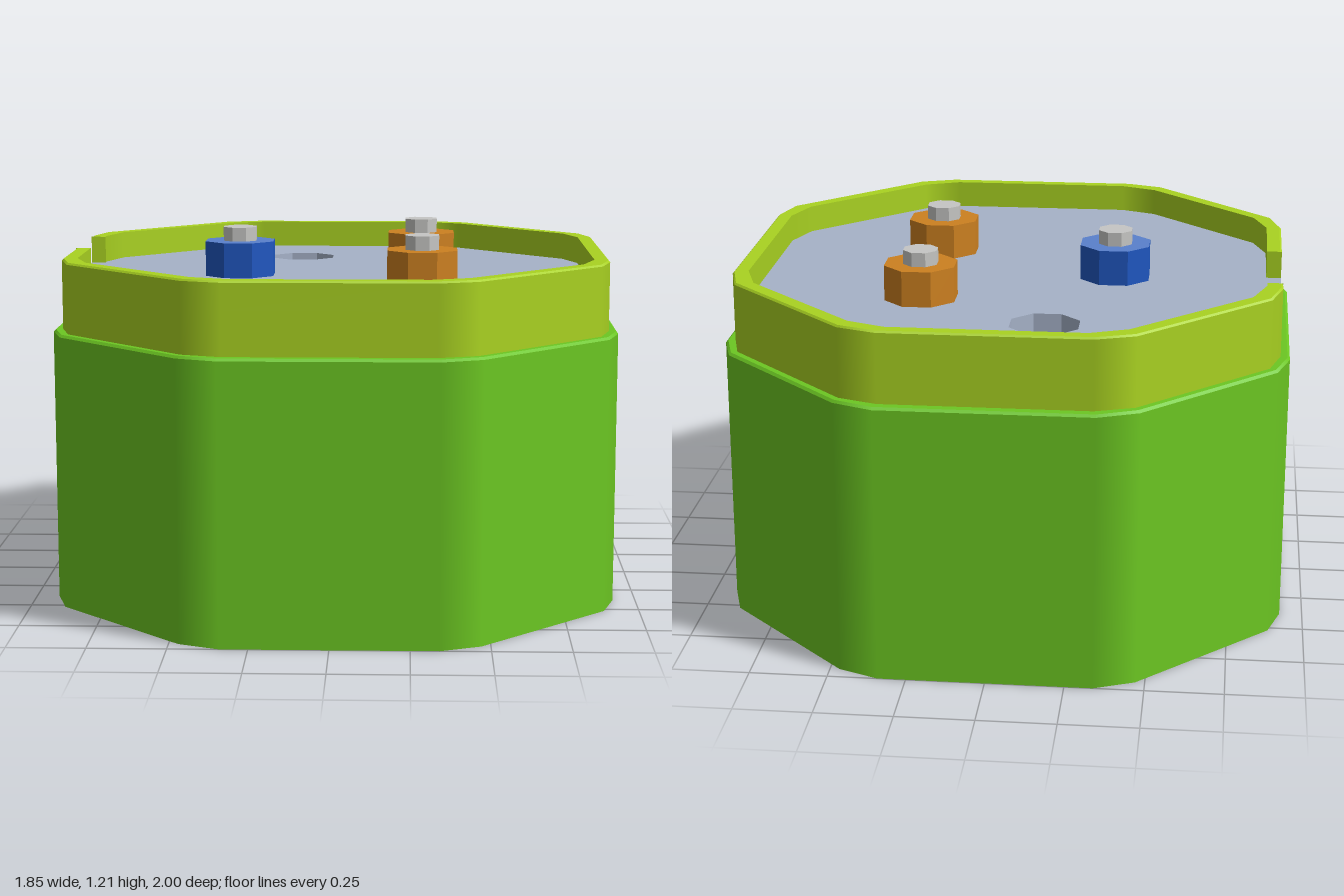
import * as THREE from 'three';

const mat = (name, color) => new THREE.MeshStandardMaterial({ name, color, side: THREE.DoubleSide });

// Chamfered octagon loop: one quadrant mirrored four times, plus the two notch points on the right side
const NOTCH = [-0.33, 0.05];
function makeLoop(quadrant) {
  const mirrored = (sx, sz) => quadrant.map(([x, z]) => [sx * x, sz * z]);
  const side = -quadrant[0][0];
  return [
    [side, NOTCH[0]],
    ...mirrored(-1, -1), ...mirrored(1, -1).reverse(),
    ...mirrored(1, 1), ...mirrored(-1, 1).reverse(),
    [side, NOTCH[1]],
  ];
}

const OUTER = makeLoop([[0.925, 0.385], [0.885, 0.52], [0.47, 0.945], [0.34, 1]]);
const RIM = makeLoop([[0.895, 0.375], [0.86, 0.505], [0.455, 0.92], [0.33, 0.965]]);
const INNER = makeLoop([[0.845, 0.36], [0.8, 0.495], [0.43, 0.87], [0.31, 0.92]]);
// Matching outward directions, so the large sides stay flat and the corners shade smoothly
const NORMALS = makeLoop([[1, 0], [0.71, 0.7], [0.71, 0.7], [0, 1]]);
NORMALS[0] = NORMALS[NORMALS.length - 1] = [-1, 0];

const inset = (loop, d) => loop.map(([x, z], i) => [x - NORMALS[i][0] * d, z - NORMALS[i][1] * d]);

// Strip between two loops; its normal mixes the outward direction and up
function band(a, ya, b, yb, out, up, closed = true) {
  const pos = [], nor = [], idx = [];
  const n = a.length;
  for (let i = 0; i < n; i++) {
    const [nx, nz] = NORMALS[i];
    const v = new THREE.Vector3(nx * out, up, nz * out).normalize();
    pos.push(a[i][0], ya, a[i][1], b[i][0], yb, b[i][1]);
    nor.push(v.x, v.y, v.z, v.x, v.y, v.z);
    if (i === n - 1 && !closed) break;
    const p = 2 * i, q = 2 * ((i + 1) % n);
    idx.push(p, p + 1, q, q, p + 1, q + 1);
  }
  const g = new THREE.BufferGeometry();
  g.setAttribute('position', new THREE.Float32BufferAttribute(pos, 3));
  g.setAttribute('normal', new THREE.Float32BufferAttribute(nor, 3));
  g.setIndex(idx);
  return g;
}

// Eight-sided prism with flats along the axes, flat shaded
function octagon(halfWidth, height, open = false) {
  const r = halfWidth / Math.cos(Math.PI / 8);
  const g = new THREE.CylinderGeometry(r, r, height, 8, 1, open).rotateY(Math.PI / 8).toNonIndexed();
  g.computeVertexNormals();
  return g;
}

export function createModel() {
  const model = new THREE.Group();
  const green = mat('green', 0x6cc722);
  const lime = mat('lime', 0xa9d221);
  const grey = mat('blueGrey', 0xa6b2c8);
  const orange = mat('orange', 0xcc8020);
  const blue = mat('blue', 0x1f57c0);
  const paleBlue = mat('paleBlue', 0x5a80cc);
  const steel = mat('steel', 0xc6c6c4);

  const add = (parent, name, geometry, material, x = 0, y = 0, z = 0) => {
    const mesh = new THREE.Mesh(geometry, material);
    mesh.name = name;
    mesh.position.set(x, y, z);
    parent.add(mesh);
    return mesh;
  };

  const SHOULDER = 0.905, LID = 1.045, TOP = 1.137;

  // Open-bottomed casing with a narrow bevelled shoulder
  const casing = new THREE.Group();
  casing.name = 'casing';
  const bevel = inset(OUTER, 0.008);
  add(casing, 'casingWall', band(OUTER, 0, OUTER, SHOULDER - 0.008, 1, 0), green);
  add(casing, 'casingBevel', band(OUTER, SHOULDER - 0.008, bevel, SHOULDER, 1, 1), green);
  add(casing, 'casingShoulder', band(bevel, SHOULDER, RIM, SHOULDER, 0, 1), green);
  model.add(casing);

  // Collar, with its upper rim left open at the notch
  const collar = new THREE.Group();
  collar.name = 'collar';
  const rimTop = inset(RIM, 0.006);
  add(collar, 'collarWall', band(RIM, SHOULDER, RIM, LID, 1, 0), lime);
  add(collar, 'rimOuter', band(RIM, LID, RIM, TOP - 0.006, 1, 0, false), lime);
  add(collar, 'rimBevel', band(RIM, TOP - 0.006, rimTop, TOP, 1, 1, false), lime);
  add(collar, 'rimTop', band(rimTop, TOP, INNER, TOP, 0, 1, false), lime);
  add(collar, 'rimInner', band(INNER, TOP, INNER, LID, -1, 0, false), lime);
  for (const z of NOTCH) {
    add(collar, 'notchEnd', new THREE.PlaneGeometry(0.05, TOP - LID), lime, -0.87, (TOP + LID) / 2, z);
  }
  model.add(collar);

  // Lid with an eight-sided through hole
  const hole = { x: -0.145, z: -0.55, half: 0.11 };
  const shape = new THREE.Shape(RIM.map(([x, z]) => new THREE.Vector2(x, z)));
  const corners = [];
  for (let i = 0; i < 8; i++) {
    const t = (i + 0.5) * Math.PI / 4, r = hole.half / Math.cos(Math.PI / 8);
    corners.push(new THREE.Vector2(hole.x + r * Math.cos(t), hole.z + r * Math.sin(t)));
  }
  shape.holes.push(new THREE.Path(corners));
  add(model, 'lid', new THREE.ShapeGeometry(shape).rotateX(Math.PI / 2), grey, 0, LID, 0);
  add(model, 'holeSleeve', octagon(hole.half, 0.12, true), grey, hole.x, LID - 0.06, hole.z);

  // Terminals: a coloured nut with a steel stud
  const terminals = [
    ['frontTerminal', 0.285, 0.295, orange, orange],
    ['backTerminal', 0.285, -0.295, orange, orange],
    ['rightTerminal', -0.335, 0.02, blue, paleBlue],
  ];
  for (const [name, x, z, side, cap] of terminals) {
    const terminal = new THREE.Group();
    terminal.name = name;
    terminal.position.set(x, LID, z);
    add(terminal, 'nut', octagon(0.115, 0.118), [side, cap, cap], 0, 0.059, 0);
    add(terminal, 'stud', octagon(0.055, 0.065), steel, 0, 0.1325, 0);
    model.add(terminal);
  }
  return model;
}
